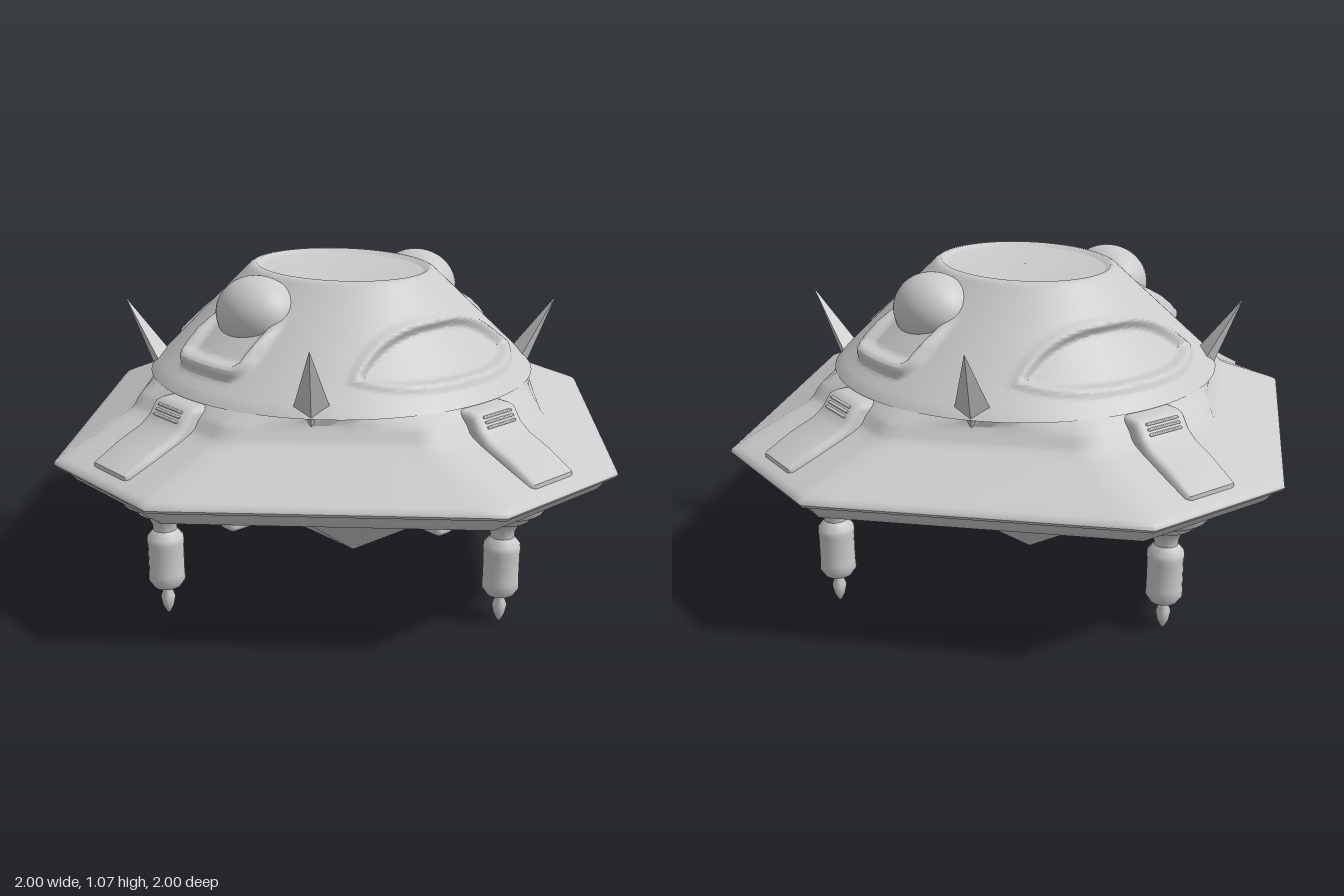
import * as THREE from 'three';
import { toCreasedNormals } from 'three/addons/utils/BufferGeometryUtils.js';
import { RoundedBoxGeometry } from 'three/addons/geometries/RoundedBoxGeometry.js';

const { lerp, clamp, smoothstep } = THREE.MathUtils;
const material = new THREE.MeshStandardMaterial({ color: 0xcccccc });

function addMesh(parent, name, geometry) {
  const mesh = new THREE.Mesh(geometry, material);
  mesh.name = name;
  parent.add(mesh);
  return mesh;
}

// Skin closed rings of points, listed from bottom to top
function loft(rings, crease) {
  const n = rings[0].length, pos = [], index = [];
  rings.forEach(ring => ring.forEach(p => pos.push(...p)));
  for (let j = 0; j < rings.length - 1; j++) {
    for (let i = 0; i < n; i++) {
      const k = (i + 1) % n, a = j * n, b = a + n;
      index.push(a + i, b + i, a + k, b + i, b + k, a + k);
    }
  }
  const g = new THREE.BufferGeometry();
  g.setAttribute('position', new THREE.Float32BufferAttribute(pos, 3));
  g.setIndex(index);
  return toCreasedNormals(g, crease);
}

// Octagon with sides on the axes: reach (ax, az), half widths cx and cz of those sides
function octagon(ax, az, cx, cz, y) {
  const corners = [[ax, -cz], [ax, cz], [cx, az], [-cx, az], [-ax, cz], [-ax, -cz], [-cx, -az], [cx, -az]];
  const ring = [], steps = 10;
  corners.forEach((p, k) => {
    const q = corners[(k + 1) % 8];
    for (let s = 0; s < steps; s++) {
      ring.push([lerp(p[0], q[0], s / steps), y, lerp(p[1], q[1], s / steps)]);
    }
  });
  return ring;
}

const hullRing = (reach, c, y) => octagon(reach, reach, c, c, y);

function circleRing(r, y) {
  return hullRing(0.64, 0.24, y).map(([x, , z]) => {
    const d = Math.hypot(x, z);
    return [x * r / d, y, z * r / d];
  });
}

// Dome wall with recessed windows front and back and raised eye frames at the sides
function domePoint(angle, y) {
  const t = clamp((1.06 - y) / 0.29, 0, 1.1);
  const cos = Math.cos(angle), sin = Math.sin(angle);
  const rx = lerp(0.29, 0.61, t), rz = lerp(0.34, 0.61, t);
  const x = rx * cos, z = rz * sin;
  let push = 0;
  const u = Math.abs(x) / 0.345;
  if (u < 1.2 && Math.abs(sin) > 0.5) {
    const d = Math.min(y - 0.782 - 0.03 * u ** 4, 0.942 - 0.13 * u ** 2.5 - y);
    push += 0.008 * smoothstep(d, -0.025, 0) - 0.03 * smoothstep(d, 0, 0.022);
  }
  if (Math.abs(cos) > 0.5) {
    // Rounded frame, fading out towards the top
    const dz = Math.max(Math.abs(z) - 0.115, 0), dy = Math.max(Math.abs(y - 0.9) - 0.065, 0);
    const d = 0.06 - Math.hypot(dz, dy);
    const fade = 1 - smoothstep(y, 0.86, 0.98);
    push += fade * (0.03 * smoothstep(d, 0, 0.03) - 0.03 * smoothstep(d, 0.035, 0.06));
  }
  return [x + push * cos, y + push * 0.5, z + push * sin];
}

function domeGeometry() {
  const N = 320, rows = 72;
  const ring = f => Array.from({ length: N }, (_, i) => f(i / N * Math.PI * 2));
  const ellipse = (rx, rz, y) => ring(a => [rx * Math.cos(a), y, rz * Math.sin(a)]);
  const rings = [ellipse(0.66, 0.66, 0.715)];
  for (let j = 0; j <= rows; j++) rings.push(ring(a => domePoint(a, lerp(0.742, 1.055, j / rows))));
  // Rounded lip and sunken roof disc
  rings.push(ellipse(0.282, 0.332, 1.062), ellipse(0.27, 0.32, 1.063));
  rings.push(ellipse(0.258, 0.308, 1.052), ellipse(0.25, 0.3, 1.05), ellipse(0.001, 0.001, 1.05));
  return loft(rings, 1.2);
}

// Extrude a side outline (distance from centre, height) to a width, facing +z
function sideExtrude(points, width, bevel) {
  const shape = new THREE.Shape(points.map(p => new THREE.Vector2(...p)));
  const depth = width - 2 * bevel;
  const g = new THREE.ExtrudeGeometry(shape, {
    depth, bevelThickness: bevel, bevelSize: bevel, bevelOffset: -bevel, bevelSegments: 3
  });
  g.translate(0, 0, -depth / 2);
  g.rotateY(-Math.PI / 2);
  return toCreasedNormals(g, 0.9);
}

export function createModel() {
  const model = new THREE.Group();
  model.name = 'saucer';

  // Octagonal skirt, rim and shoulder rising into a round collar
  addMesh(model, 'hull', loft([
    hullRing(0.5, 0.14, 0.44),
    hullRing(0.925, 0.244, 0.44),
    hullRing(0.935, 0.246, 0.443),
    hullRing(0.955, 0.25, 0.468),
    hullRing(0.968, 0.252, 0.486),
    hullRing(0.993, 0.26, 0.495),
    hullRing(1, 0.262, 0.505),
    hullRing(0.996, 0.262, 0.515),
    hullRing(0.98, 0.26, 0.525),
    hullRing(0.95, 0.258, 0.538),
    hullRing(0.75, 0.246, 0.62),
    hullRing(0.715, 0.242, 0.637),
    hullRing(0.7, 0.24, 0.65),
    hullRing(0.688, 0.238, 0.672),
    hullRing(0.67, 0.236, 0.69),
    circleRing(0.645, 0.722),
    circleRing(0.6, 0.755)
  ], 0.8));

  addMesh(model, 'dome', domeGeometry());

  // Faceted belly tapering to a small rectangle, with two plates under it
  addMesh(model, 'belly', loft([
    octagon(0.001, 0.001, 0.001, 0.001, 0.1),
    octagon(0.125, 0.2, 0.12, 0.195, 0.1),
    octagon(0.6, 0.6, 0.32, 0.32, 0.445)
  ], 0.25));
  for (const side of [1, -1]) {
    addMesh(model, 'bellyPlate', new RoundedBoxGeometry(0.18, 0.03, 0.165, 2, 0.008))
      .position.set(0, 0.098, side * 0.092);
  }

  // Ball eyes
  for (const side of [1, -1]) {
    const eye = addMesh(model, side > 0 ? 'leftEye' : 'rightEye', new THREE.SphereGeometry(1, 40, 28));
    eye.scale.set(0.125, 0.125, 0.155);
    eye.position.set(side * 0.368, 0.944, 0);
  }

  const hatch = sideExtrude([[0.6, 0.5], [0.955, 0.5], [0.955, 0.55], [0.86, 0.602],
    [0.78, 0.635], [0.745, 0.662], [0.715, 0.705], [0.69, 0.712], [0.6, 0.712]], 0.2, 0.022);
  const legProfile = [[0, 0.45], [0.14, 0.445], [0.14, 0.425], [0.128, 0.4], [0.095, 0.385],
    [0.085, 0.365], [0.055, 0.35], [0.04, 0.32], [0.038, 0.3], [0.058, 0.275], [0.06, 0.26],
    [0.058, 0.245], [0.058, 0.15], [0.06, 0.125], [0.045, 0.102], [0.018, 0.095], [0.017, 0.08],
    [0.024, 0.06], [0.018, 0.03], [0.006, 0.005], [0, 0]];
  const leg = toCreasedNormals(new THREE.LatheGeometry(
    legProfile.map(p => new THREE.Vector2(...p)).reverse(), 24), 0.7);

  // One hatch, leg and arm on each of the four sides
  ['front', 'left', 'back', 'right'].forEach((name, k) => {
    const side = new THREE.Group();
    side.name = name + 'Side';
    side.rotation.y = k * Math.PI / 2;
    addMesh(side, 'hatch', hatch);
    for (let s = 0; s < 3; s++) {
      const slat = addMesh(side, 'hatchSlat', new RoundedBoxGeometry(0.13, 0.008, 0.016, 1, 0.003));
      slat.position.set(0, 0.668 + s * 0.014, 0.738 - s * 0.0098);
    }
    addMesh(side, 'leg', leg).position.z = 0.763;
    addMesh(side, 'arm', new RoundedBoxGeometry(0.075, 0.05, 0.3, 3, 0.02)).position.set(0, 0.245, 0.375);
    model.add(side);
  });

  // Leaning spikes on the four diagonals
  const up = new THREE.Vector3(0, 1, 0);
  for (const sx of [1, -1]) {
    for (const sz of [1, -1]) {
      const base = new THREE.Vector3(0.465 * sx, 0.7, 0.385 * sz);
      const tip = new THREE.Vector3(0.563 * sx, 0.95, 0.488 * sz);
      const axis = tip.clone().sub(base);
      const g = new THREE.ConeGeometry(0.068, axis.length(), 4);
      g.scale(1, 1, 0.65);
      g.translate(0, axis.length() / 2, 0);
      g.rotateY(Math.atan2(sx, sz));
      const spike = addMesh(model, 'spike', toCreasedNormals(g, 0.3));
      spike.position.copy(base);
      spike.quaternion.setFromUnitVectors(up, axis.normalize());
    }
  }
  return model;
}
